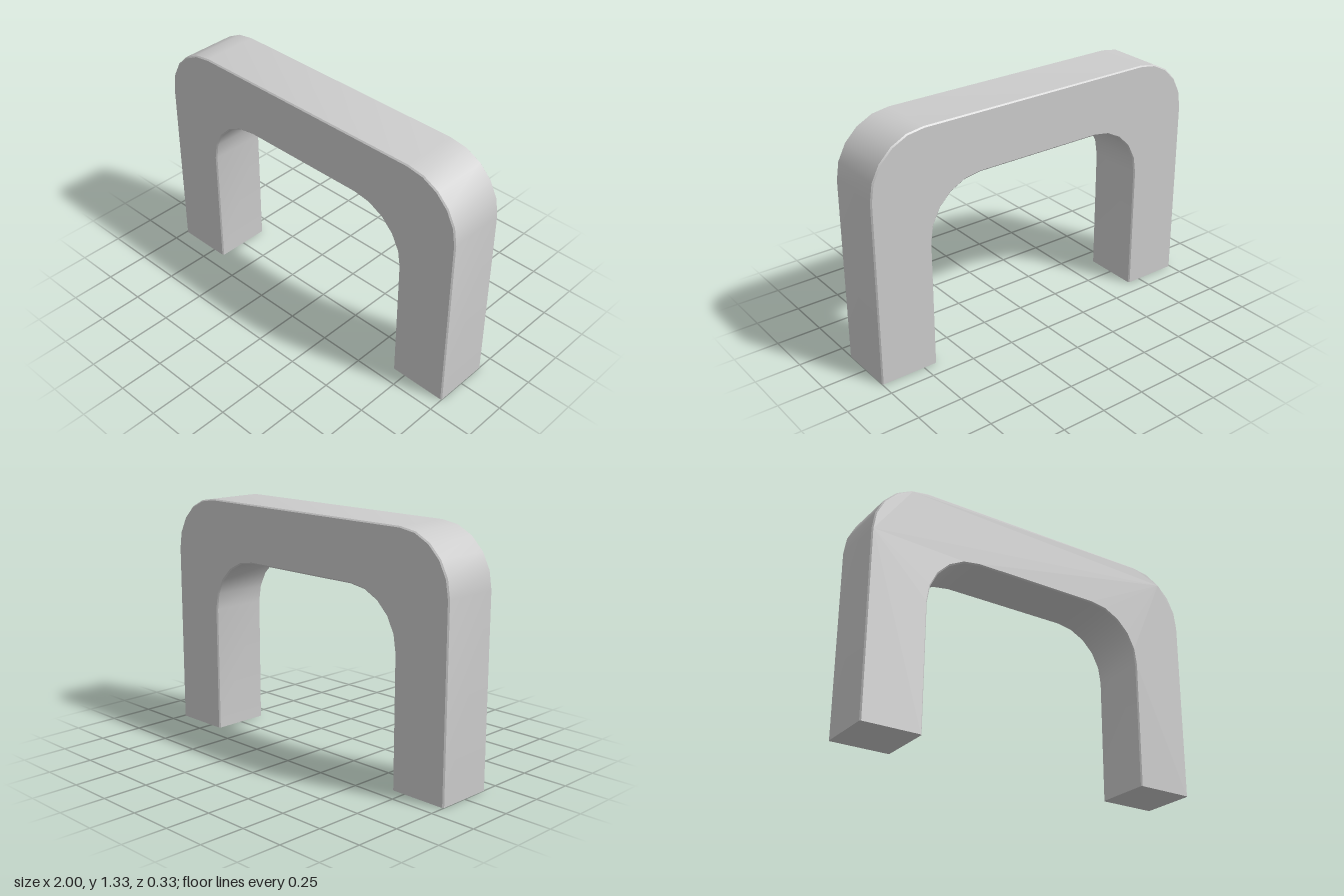
import * as THREE from 'three';
import { toCreasedNormals } from 'three/addons/utils/BufferGeometryUtils.js';

const BEVEL = 0.007;
const DEPTH = 0.326;

// Points of one upside-down U, left foot to right foot, with faceted round corners
function archLine(halfWidth, height, radius, segments = 5) {
  const right = [new THREE.Vector2(halfWidth, 0)];
  for (let i = 0; i <= segments; i++) {
    const a = (i / segments) * Math.PI / 2;
    right.push(new THREE.Vector2(
      halfWidth - radius + radius * Math.cos(a),
      height - radius + radius * Math.sin(a)));
  }
  const left = right.map(p => new THREE.Vector2(-p.x, p.y)).reverse();
  return [...right, ...left];
}

export function createModel() {
  const group = new THREE.Group();
  group.name = 'arch';

  // Outer outline up and over, inner outline back
  const outline = [
    ...archLine(1, 1.333, 0.31),
    ...archLine(0.672, 1.01, 0.303).reverse(),
  ];
  const geometry = new THREE.ExtrudeGeometry(new THREE.Shape(outline), {
    depth: DEPTH - 2 * BEVEL,
    bevelThickness: BEVEL,
    bevelSize: BEVEL,
    bevelOffset: -BEVEL,
    bevelSegments: 1,
  });
  geometry.translate(0, 0, BEVEL - DEPTH / 2);

  // Flatten the feet so only the long edges stay chamfered
  const pos = geometry.attributes.position;
  for (let i = 0; i < pos.count; i++) {
    if (pos.getY(i) < 0.05) pos.setY(i, 0);
  }

  const body = new THREE.Mesh(
    toCreasedNormals(geometry, 0.5),
    new THREE.MeshStandardMaterial({ color: 0xcccccc }));
  body.name = 'archBody';
  group.add(body);
  return group;
}
